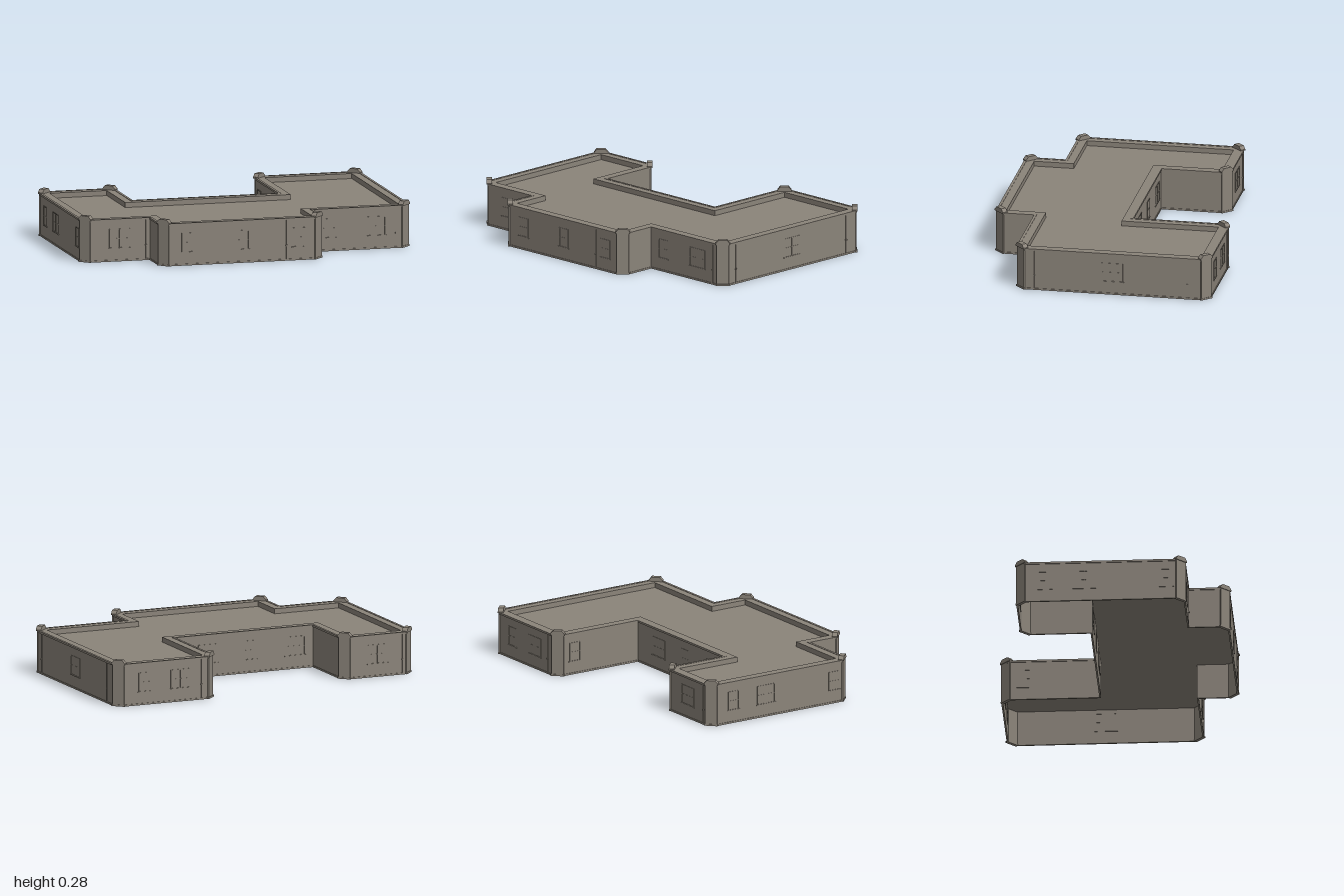
import * as THREE from 'three';

const stone = new THREE.MeshStandardMaterial({ color: 0x8b847a });
stone.name = 'grey stone';

// Footprint corners [x, z], running round the plan
const PLAN = [
  [-0.99, 0.455], [-0.58, 0.455], [-0.58, 0.69], [0.4, 0.69], [0.4, 0.455], [0.99, 0.455],
  [0.99, -0.69], [0.355, -0.69], [0.355, -0.115], [-0.535, -0.115], [-0.535, -0.525], [-0.99, -0.525],
];
const CHAMFER = 0.05;

// Corner data: unit directions along both edges and whether the corner is convex
const corners = PLAN.map(([x, z], i) => {
  const p = new THREE.Vector2(x, -z);
  const at = (k) => new THREE.Vector2(PLAN[(k + 12) % 12][0], -PLAN[(k + 12) % 12][1]);
  const a = p.clone().sub(at(i - 1)).normalize();
  const b = at(i + 1).sub(p).normalize();
  return { p, a, b, convex: a.cross(b) > 0 };
});

// Footprint outline moved inwards by inset, convex corners cut by chamfer
function outline(inset, chamfer) {
  const pts = [];
  for (const { p, a, b, convex } of corners) {
    const q = p.clone();
    for (const d of [a, b]) q.add(new THREE.Vector2(-d.y, d.x).multiplyScalar(inset));
    if (convex && chamfer > 0) {
      pts.push(q.clone().addScaledVector(a, -chamfer), q.clone().addScaledVector(b, chamfer));
    } else pts.push(q);
  }
  return pts;
}

function mesh(name, geo, x = 0, y = 0, z = 0) {
  const m = new THREE.Mesh(geo, stone);
  m.name = name;
  m.position.set(x, y, z);
  return m;
}

// Flat slab or ring following the footprint, from y0 to y1
function slab(name, outer, inner, y0, y1) {
  const shape = new THREE.Shape(outer);
  if (inner) shape.holes.push(new THREE.Path(inner));
  const geo = new THREE.ExtrudeGeometry(shape, { depth: y1 - y0, bevelEnabled: false });
  geo.rotateX(-Math.PI / 2);
  return mesh(name, geo, 0, y0, 0);
}

const box = (name, w, h, d, x, y, z) => mesh(name, new THREE.BoxGeometry(w, h, d), x, y, z);

// Sash window; the frame shows on both sides of the thin wall
function sashWindow(wide) {
  const g = new THREE.Group();
  g.name = wide ? 'wideWindow' : 'narrowWindow';
  const w = wide ? 0.12 : 0.072, h = 0.11, y = 0.135, t = 0.005, d = 0.011, z = -0.003;
  for (const s of [-1, 1]) {
    g.add(box('windowJamb', t, h, d, s * w / 2, y, z));
    g.add(box('windowRail', w + t, t, d, 0, y + s * h / 2, z));
  }
  g.add(box('windowSill', w + 0.016, 0.005, 0.015, 0, y - h / 2 - 0.002, z));
  g.add(box('meetingRail', w, 0.004, 0.009, 0, y, z));
  if (wide) g.add(box('mullion', 0.004, h, 0.009, 0, y, z));
  return g;
}

// Thin downpipe with a bracket
function downpipe() {
  const g = new THREE.Group();
  g.name = 'downpipe';
  g.add(box('pipe', 0.005, 0.24, 0.005, 0, 0.12, 0.002));
  g.add(box('pipeBracket', 0.01, 0.008, 0.008, 0, 0.09, 0.003));
  return g;
}

// Corner pier with foot and tapered cap, facing +z before turning
function cornerPier() {
  const g = new THREE.Group();
  g.name = 'cornerPier';
  g.add(box('pierShaft', 0.072, 0.25, 0.014, 0, 0.125, 0));
  g.add(box('pierFoot', 0.08, 0.01, 0.02, 0, 0.005, 0));
  const cap = new THREE.Shape([[-0.042, 0], [0.042, 0], [0.042, 0.008], [0.025, 0.027], [-0.025, 0.027], [-0.042, 0.008]]
    .map(([x, y]) => new THREE.Vector2(x, y)));
  const geo = new THREE.ExtrudeGeometry(cap, { depth: 0.032, bevelEnabled: false });
  g.add(mesh('pierCap', geo, 0, 0.248, -0.02));
  return g;
}

export function createModel() {
  const model = new THREE.Group();
  model.name = 'building';

  // Shell, open underneath
  model.add(slab('walls', outline(0, CHAMFER), outline(0.006, CHAMFER), 0, 0.222));
  model.add(slab('roof', outline(0.004, CHAMFER), null, 0.214, 0.22));
  model.add(slab('parapet', outline(0, CHAMFER), outline(0.055, 0), 0.219, 0.25));
  model.add(slab('coping', outline(-0.005, CHAMFER), outline(0.01, CHAMFER), 0.24, 0.252));
  model.add(slab('plinth', outline(-0.004, CHAMFER), outline(0.005, CHAMFER), 0, 0.01));

  // Piers on the cut corners
  for (const { p, a, b, convex } of corners) {
    if (!convex) continue;
    const out = a.clone().sub(b).normalize();
    const mid = p.clone().addScaledVector(a, -CHAMFER / 2).addScaledVector(b, CHAMFER / 2);
    const pier = cornerPier();
    pier.position.set(mid.x, 0, -mid.y);
    pier.rotation.y = Math.atan2(out.x, -out.y);
    model.add(pier);
  }

  // Facades: direction faced, wall plane, narrow windows, wide windows, downpipes
  const H = Math.PI / 2;
  const facades = [
    [0, 0.69, [-0.415, -0.085, 0.255], [], [0.18]],
    [0, 0.455, [0.5], [0.78, -0.765], [0.905, -0.605]],
    [H, 0.99, [], [-0.115], [0.35, -0.56]],
    [2 * H, -0.69, [0.81], [0.58], [0.445]],
    [2 * H, -0.115, [-0.135], [0.14, -0.42], []],
    [2 * H, -0.525, [], [-0.76], [-0.92]],
    [-H, -0.99, [-0.36, 0.35], [-0.13], []],
    [-H, 0.355, [-0.56], [], []],
  ];
  for (const [turn, plane, narrow, wide, pipes] of facades) {
    const sideways = Math.abs(turn) === H;
    const put = (part, t) => {
      part.position.set(sideways ? plane : t, 0, sideways ? t : plane);
      part.rotation.y = turn;
      model.add(part);
    };
    narrow.forEach((t) => put(sashWindow(false), t));
    wide.forEach((t) => put(sashWindow(true), t));
    pipes.forEach((t) => put(downpipe(), t));
  }
  return model;
}
